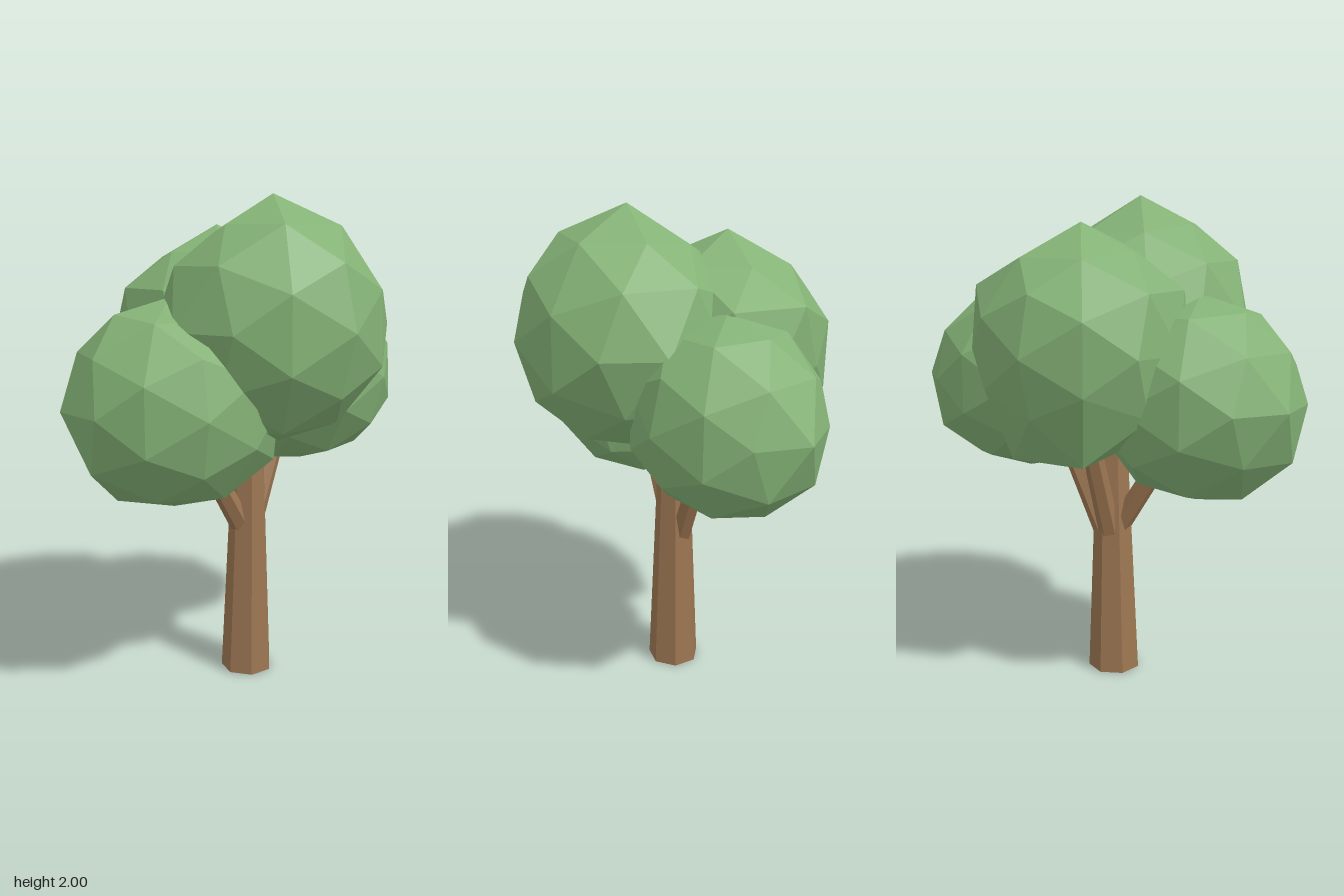
import * as THREE from 'three';

const bark = new THREE.MeshStandardMaterial({ color: 0x9c7652, flatShading: true });
const leaves = new THREE.MeshStandardMaterial({ color: 0x84b276, flatShading: true });

// Repeatable wobble in -1..1, equal for corners that share a position
function wobble(x, y, z, seed) {
  const q = (v) => Math.round(v * 100);
  const s = Math.sin(q(x) * 12.99 + q(y) * 78.23 + q(z) * 37.72 + seed * 4.13) * 43758.55;
  return (s - Math.floor(s)) * 2 - 1;
}

// Faceted leaf clump: a subdivided icosahedron with slightly uneven corners.
// Each bump [x, y, z, factor] pulls the corner in that direction in or out.
function clump(name, center, size, turn, seed, bumps) {
  const geo = new THREE.IcosahedronGeometry(1, 1);
  const p = geo.attributes.position;
  const v = new THREE.Vector3();
  for (let i = 0; i < p.count; i++) {
    v.fromBufferAttribute(p, i);
    const bump = bumps.find(([x, y, z]) => v.distanceTo(new THREE.Vector3(x, y, z)) < 0.1);
    v.multiplyScalar(bump ? bump[3] : 1 + 0.015 * wobble(v.x, v.y, v.z, seed));
    p.setXYZ(i, v.x, v.y, v.z);
  }
  geo.rotateY(turn);
  geo.scale(...size);
  geo.computeVertexNormals();
  const mesh = new THREE.Mesh(geo, leaves);
  mesh.name = name;
  mesh.position.set(...center);
  return mesh;
}

// Tapered limb running between two points
function limb(name, from, to, r0, r1, sides, turn = 0) {
  const a = new THREE.Vector3(...from);
  const d = new THREE.Vector3(...to).sub(a);
  const geo = new THREE.CylinderGeometry(r1, r0, d.length(), sides, 1, false, turn);
  geo.translate(0, d.length() / 2, 0);
  const mesh = new THREE.Mesh(geo, bark);
  mesh.name = name;
  mesh.position.copy(a);
  mesh.quaternion.setFromUnitVectors(new THREE.Vector3(0, 1, 0), d.normalize());
  return mesh;
}

export function createModel() {
  const tree = new THREE.Group();
  tree.name = 'tree';

  // Seven-sided trunk and three branches
  tree.add(
    limb('trunk', [0, 0, 0], [0.012, 1.2, 0], 0.11, 0.058, 7, 0.4),
    limb('leftBranch', [0.04, 0.62, -0.02], [0.23, 1.06, -0.05], 0.046, 0.04, 6),
    limb('rightBranch', [-0.02, 0.63, 0], [-0.28, 1.05, 0.02], 0.046, 0.04, 6),
    limb('backBranch', [0, 0.62, -0.04], [0.02, 1.1, -0.19], 0.046, 0.04, 6),
  );

  // Four overlapping leaf clumps
  tree.add(
    clump('frontLeaves', [-0.02, 1.505, 0.18], [0.46, 0.465, 0.455], 0, 1, [
      [0, 1, 0, 1.065], [-1, 0, 0, 1.04], [1, 0, 0, 1.02], [0, -1, 0, 1.01], [0, 0, 1, 1],
      [0.53, 0.85, 0, 0.95], [-0.53, 0.85, 0, 0.96],
      [0.31, 0.81, -0.5, 0.92], [-0.31, 0.81, -0.5, 0.92],
    ]),
    clump('backLeaves', [0.02, 1.41, -0.22], [0.435, 0.43, 0.42], 0, 2, [
      [0, 1, 0, 1.115], [1, 0, 0, 1.04], [0, 0, -1, 1],
      [0.81, 0.5, 0.31, 1.12], [0.81, 0.5, -0.31, 1.12],
      [-0.81, 0.5, 0.31, 1.06], [-0.81, 0.5, -0.31, 1.05],
      [0.31, 0.81, 0.5, 1.05], [-0.31, 0.81, 0.5, 1.05],
      [0.31, -0.81, -0.5, 1.18], [-0.31, -0.81, -0.5, 1.18], [-0.81, -0.5, -0.31, 1.06],
    ]),
    clump('leftLeaves', [0.375, 1.26, -0.07], [0.42, 0.39, 0.38], 0.35, 3, [
      [1, 0, 0, 1.07], [0.85, 0, 0.53, 0.97], [0, 1, 0, 1], [0, -1, 0, 1],
      [0.81, -0.5, 0.31, 1.06], [0.81, -0.5, -0.31, 1.06], [0.53, -0.85, 0, 1.03],
      [-0.53, -0.85, 0, 1.04], [-0.81, -0.5, 0.31, 1.1], [-0.81, -0.5, -0.31, 1.1],
    ]),
    clump('rightLeaves', [-0.38, 1.21, 0.01], [0.42, 0.41, 0.415], -0.3, 4, [
      [-1, 0, 0, 1.04], [0, 1, 0, 1], [0, -1, 0, 1],
      [-0.53, -0.85, 0, 1.04], [-0.81, -0.5, 0.31, 1.06],
      [0.53, -0.85, 0, 1.04], [0.81, -0.5, 0.31, 1.08], [0.81, -0.5, -0.31, 1.08],
    ]),
  );
  return tree;
}
